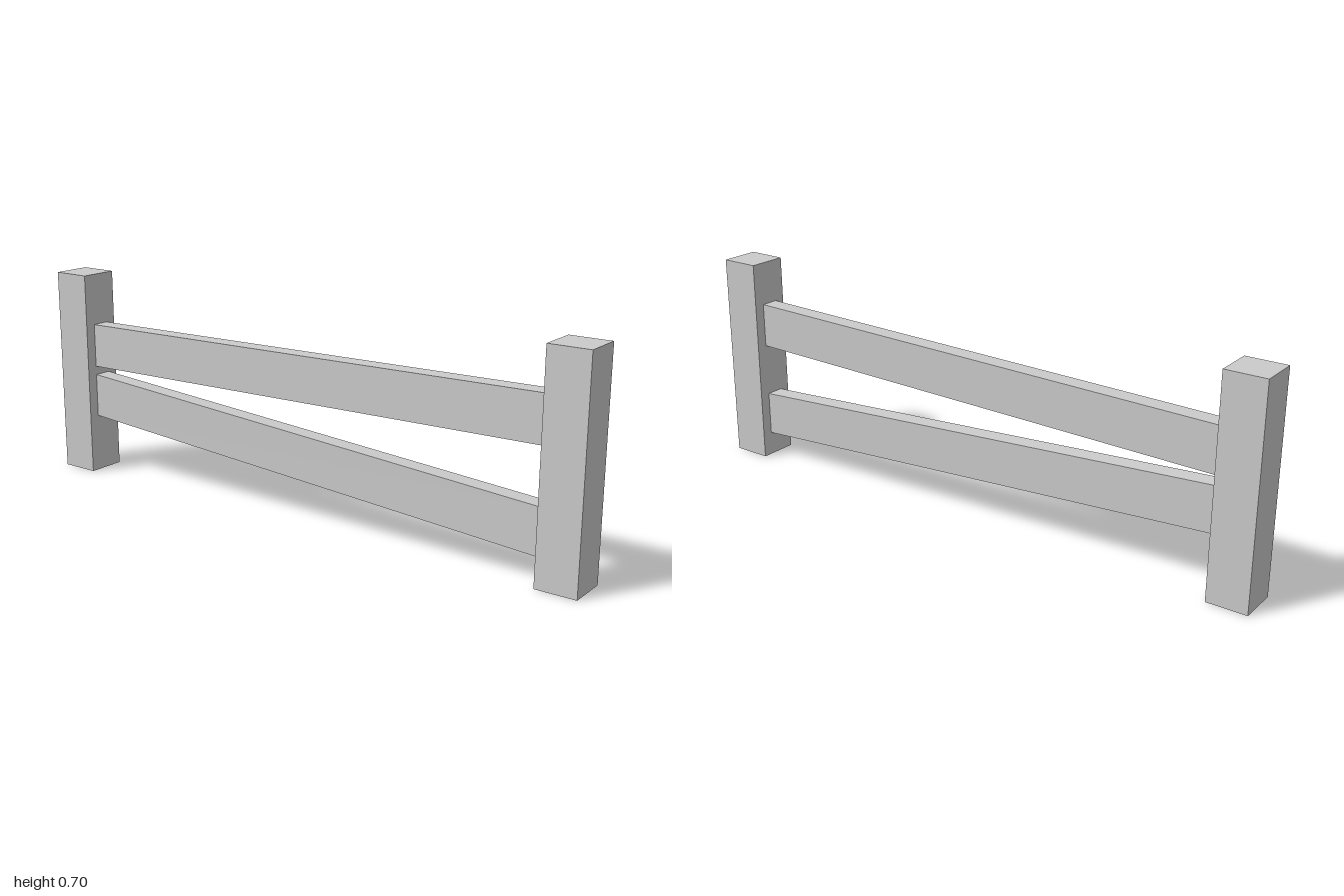
import * as THREE from 'three';

const POST_WIDTH = 0.132;
const POST_HEIGHT = 0.702;
const RAIL_THICKNESS = 0.06;
const RAIL_HEIGHT = 0.149;
const SPAN = 2 - 2 * POST_WIDTH;

const material = new THREE.MeshStandardMaterial({ color: 0xcccccc, flatShading: true });

// Square upright post standing on the ground
function makePost(name, z) {
  const post = new THREE.Mesh(new THREE.BoxGeometry(POST_WIDTH, POST_HEIGHT, POST_WIDTH), material);
  post.name = name;
  post.position.set(0, POST_HEIGHT / 2, z);
  return post;
}

// Slanted rail with upright ends flush against both posts
function makeRail(name, frontY, backY) {
  const geometry = new THREE.BoxGeometry(RAIL_THICKNESS, RAIL_HEIGHT, SPAN);
  const slope = (frontY - backY) / SPAN;
  const p = geometry.attributes.position;
  for (let i = 0; i < p.count; i++) p.setY(i, p.getY(i) + slope * p.getZ(i));
  geometry.computeVertexNormals();
  const rail = new THREE.Mesh(geometry, material);
  rail.name = name;
  rail.position.y = (frontY + backY) / 2;
  return rail;
}

export function createModel() {
  const fence = new THREE.Group();
  fence.name = 'fence';
  const postZ = 1 - POST_WIDTH / 2;
  fence.add(
    makePost('frontPost', postZ),
    makePost('backPost', -postZ),
    makeRail('upperRail', 0.482, 0.452),
    makeRail('lowerRail', 0.155, 0.273),
  );
  return fence;
}
